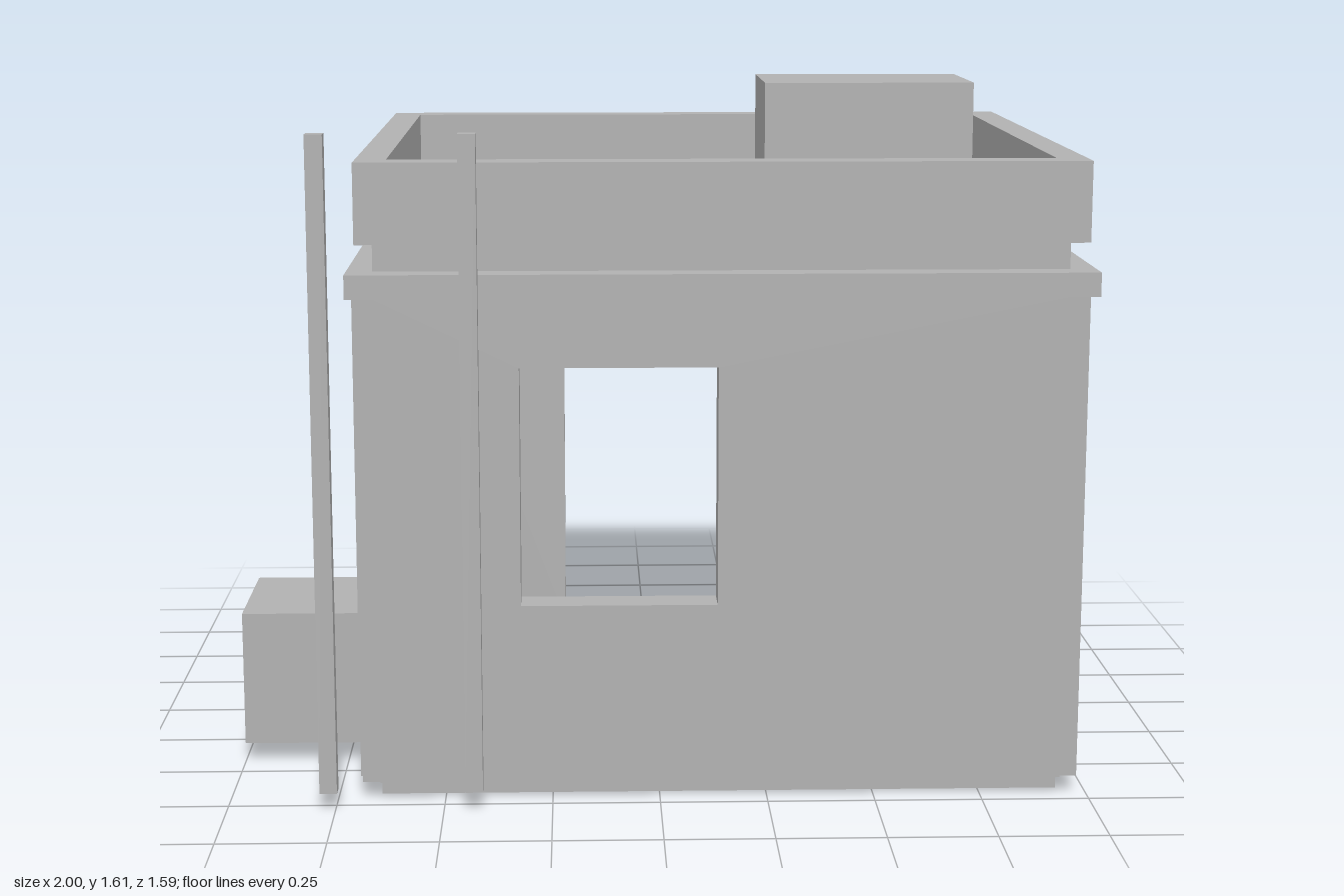
import * as THREE from 'three';

const concrete = new THREE.MeshStandardMaterial({ color: 0xb2b2b2 });
concrete.name = 'concrete grey';

// Outline of a centred rectangle in plan
const rect = (Type, x0, x1, y0, y1) => {
  const s = new Type();
  s.moveTo(x0, y0);
  s.lineTo(x1, y0);
  s.lineTo(x1, y1);
  s.lineTo(x0, y1);
  s.closePath();
  return s;
};

function add(group, name, geometry) {
  const mesh = new THREE.Mesh(geometry, concrete);
  mesh.name = name;
  group.add(mesh);
  return mesh;
}

// Box given by its limits on each axis
function block(group, name, [x0, x1], [y0, y1], [z0, z1]) {
  const mesh = add(group, name, new THREE.BoxGeometry(x1 - x0, y1 - y0, z1 - z0));
  mesh.position.set((x0 + x1) / 2, (y0 + y1) / 2, (z0 + z1) / 2);
  return mesh;
}

// Horizontal rectangular ring with an open middle
function ring(group, name, hx, hz, ix, iz, y0, y1) {
  const shape = rect(THREE.Shape, -hx, hx, -hz, hz);
  shape.holes.push(rect(THREE.Path, -ix, ix, -iz, iz));
  const g = new THREE.ExtrudeGeometry(shape, { depth: y1 - y0, bevelEnabled: false });
  g.rotateX(-Math.PI / 2);
  add(group, name, g).position.y = y0;
}

const FLOOR = 0.043, WALL_TOP = 1.18;
const IN_X = 0.76, IN_Z = 0.665;      // inner faces of the walls
const OUT_X = 0.842, OUT_Z = 0.75;    // outer faces of the walls
const CORE_X = 0.793, CORE_Z = 0.70;  // plinth, neck and wall ends

// Upright wall in the xy plane, with a window hole or a door notch
function wall(group, name, half, depth, opening, door) {
  let shape;
  if (door) {
    const [a, b, top] = door;
    shape = new THREE.Shape([
      [-half, FLOOR], [a, FLOOR], [a, top], [b, top], [b, FLOOR],
      [half, FLOOR], [half, WALL_TOP], [-half, WALL_TOP],
    ].map(([x, y]) => new THREE.Vector2(x, y)));
  } else {
    shape = rect(THREE.Shape, -half, half, FLOOR, WALL_TOP);
    if (opening) shape.holes.push(rect(THREE.Path, ...opening));
  }
  return add(group, name, new THREE.ExtrudeGeometry(shape, { depth, bevelEnabled: false }));
}

export function createModel() {
  const model = new THREE.Group();
  model.name = 'house';

  const house = new THREE.Group();
  house.name = 'building';
  house.position.set(0.1425, 0, -0.03);
  model.add(house);

  // Floor slab
  block(house, 'plinth', [-CORE_X, CORE_X], [0, FLOOR], [-CORE_Z, CORE_Z]);

  // Four walls
  const tx = OUT_X - IN_X, tz = OUT_Z - IN_Z;
  wall(house, 'frontWall', CORE_X, tz, [-0.463, -0.01, 0.465, 1.02]).position.z = IN_Z;
  wall(house, 'backWall', CORE_X, tz, null, [-0.368, 0.368, 1.09]).position.z = -OUT_Z;
  const right = wall(house, 'rightWall', CORE_Z, tx, [-0.355, 0.107, 0.465, 1.02]);
  right.rotation.y = -Math.PI / 2;
  right.position.x = -IN_X;
  const left = wall(house, 'leftWall', CORE_Z, tx);
  left.rotation.y = -Math.PI / 2;
  left.position.x = OUT_X;

  // Corner posts, set back slightly from the wall faces
  for (const sx of [-1, 1]) for (const sz of [-1, 1]) {
    const px = [IN_X + 0.005, OUT_X - 0.008], pz = [IN_Z + 0.005, OUT_Z - 0.008];
    block(house, 'cornerPost',
      sx > 0 ? px : [-px[1], -px[0]], [FLOOR, WALL_TOP],
      sz > 0 ? pz : [-pz[1], -pz[0]]);
  }

  // Cornice, roof slab and parapet
  ring(house, 'cornice', 0.853, 0.763, IN_X - 0.01, IN_Z - 0.01, WALL_TOP, 1.235);
  block(house, 'roofSlab', [-CORE_X, CORE_X], [1.235, 1.30], [-CORE_Z, CORE_Z]);
  ring(house, 'parapet', 0.831, 0.74, IN_X, IN_Z, 1.30, 1.485);

  // Block on the roof and box against the side wall
  block(model, 'roofBox', [0.295, 0.83], [1.30, 1.605], [-0.525, -0.155]);
  block(model, 'sideBox', [-1, -0.70], [0.045, 0.37], [0.07, 0.42]);

  // Two free-standing poles at the front
  for (const x of [-0.765, -0.43]) {
    block(model, 'pole', [x - 0.02, x + 0.02], [0.043, 1.555], [0.755, 0.795]);
  }
  return model;
}
